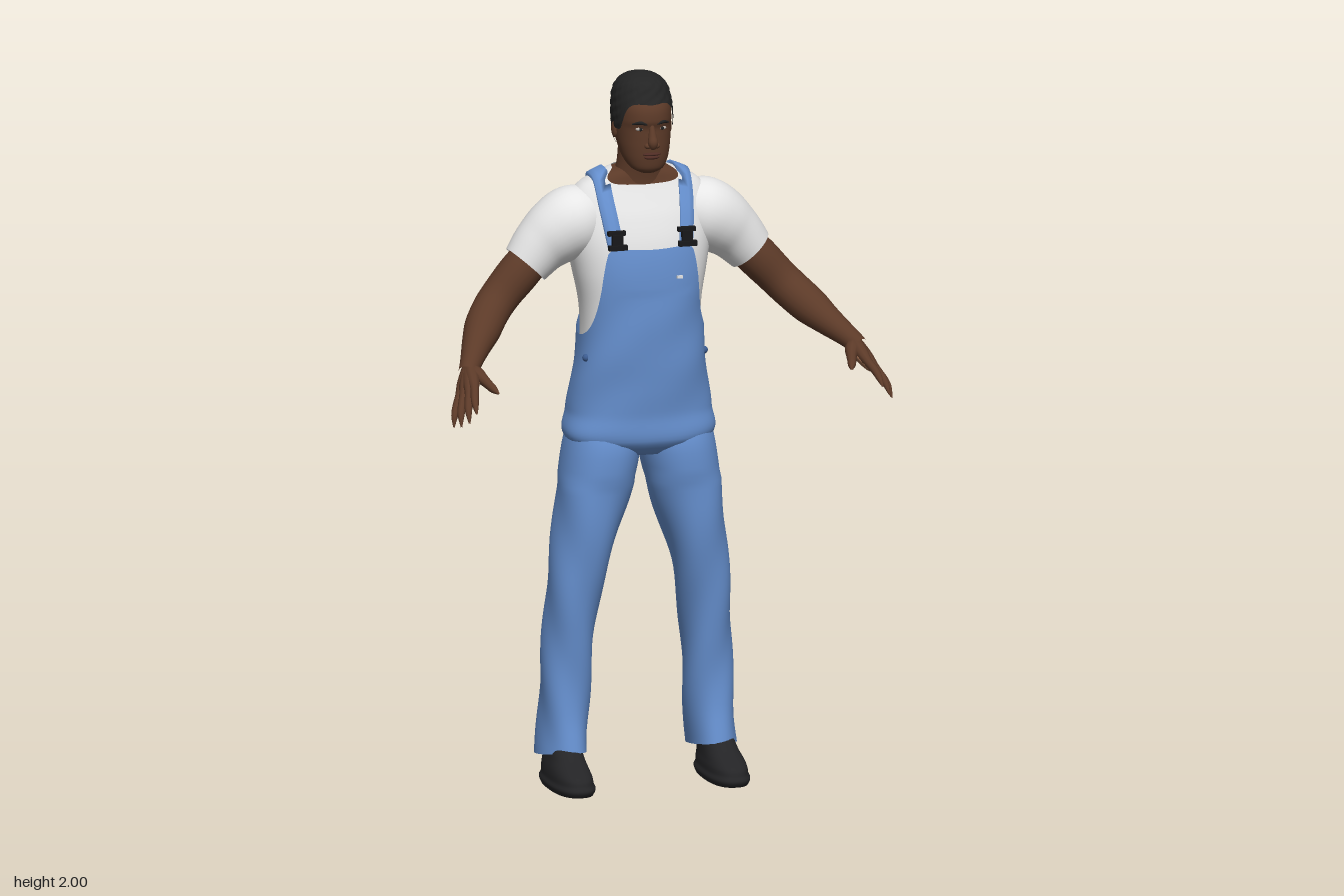
import * as THREE from 'three';
import { mergeVertices } from 'three/addons/utils/BufferGeometryUtils.js';

const mat = (name, color, side = THREE.FrontSide) => {
  const m = new THREE.MeshStandardMaterial({ color, side });
  m.name = name;
  return m;
};
const V = (a) => new THREE.Vector3(...a);

// Smooth interpolation through rows [t, a, b, ...]
function sample(rows, t) {
  const n = rows.length - 1;
  if (t <= rows[0][0]) return rows[0].slice(1);
  if (t >= rows[n][0]) return rows[n].slice(1);
  let i = 0;
  while (rows[i + 1][0] < t) i++;
  const p = rows[i], q = rows[i + 1], o = rows[Math.max(i - 1, 0)], r = rows[Math.min(i + 2, n)];
  const h = q[0] - p[0], s = (t - p[0]) / h;
  return p.slice(1).map((_, k) => {
    const j = k + 1;
    const m0 = (q[j] - o[j]) / (q[0] - o[0]) * h, m1 = (r[j] - p[j]) / (r[0] - p[0]) * h;
    const d = q[j] - p[j];
    return p[j] + s * (m0 + s * (3 * d - 2 * m0 - m1 + s * (m0 + m1 - 2 * d)));
  });
}

// Skin over horizontal rings [y, centreX, halfWidth, zFront, zBack]; lo and hi give
// the border height by angle from the front (0 front, PI back)
function wrap(rings, { lo, hi, grow = () => 0, n = 2.3, nu = 64, nv = 44, capTop, capBottom, ease = false }) {
  const pos = [], idx = [];
  const pw = (c) => Math.sign(c) * Math.abs(c) ** (2 / n);
  for (let j = 0; j <= nv; j++) for (let i = 0; i < nu; i++) {
    const a = i / nu * Math.PI * 2;
    const f = Math.acos(Math.min(1, Math.max(-1, Math.sin(a))));
    const v = ease ? Math.sin(j / nv * Math.PI / 2) : j / nv;
    const y = lo(f) + (hi(f) - lo(f)) * v;
    const [cx, w, zf, zb] = sample(rings, y), g = grow(a, y);
    pos.push(cx + (w + g) * pw(Math.cos(a)), y, (zf + zb) / 2 + ((zf - zb) / 2 + g) * pw(Math.sin(a)));
  }
  for (let j = 0; j < nv; j++) for (let i = 0; i < nu; i++) {
    const a = j * nu + i, b = j * nu + (i + 1) % nu;
    idx.push(a, a + nu, b, b, a + nu, b + nu);
  }
  const cap = (row, top) => {
    const c = pos.length / 3, m = [0, 0, 0];
    for (let i = 0; i < nu; i++) for (let k = 0; k < 3; k++) m[k] += pos[(row * nu + i) * 3 + k] / nu;
    pos.push(...m);
    for (let i = 0; i < nu; i++) {
      const a = row * nu + i, b = row * nu + (i + 1) % nu;
      top ? idx.push(a, c, b) : idx.push(a, b, c);
    }
  };
  if (capTop) cap(nv, true);
  if (capBottom) cap(0, false);
  return build(pos, idx);
}

function build(pos, idx) {
  const g = new THREE.BufferGeometry();
  g.setAttribute('position', new THREE.Float32BufferAttribute(pos, 3));
  g.setIndex(idx);
  g.computeVertexNormals();
  return g;
}

// Tube along points, with radii spread evenly along its length
function limb(points, radii, segs = 24, sides = 20) {
  const curve = new THREE.CatmullRomCurve3(points.map(V));
  let g = new THREE.TubeGeometry(curve, segs, 1, sides);
  const rows = radii.map((r, i) => [i / (radii.length - 1), r]);
  const p = g.attributes.position, v = new THREE.Vector3();
  for (let i = 0; i < p.count; i++) {
    const t = Math.floor(i / (sides + 1)) / segs, c = curve.getPointAt(t);
    v.fromBufferAttribute(p, i).sub(c).multiplyScalar(sample(rows, t)[0]).add(c);
    p.setXYZ(i, v.x, v.y, v.z);
  }
  g.deleteAttribute('uv');
  g.deleteAttribute('normal');
  g = mergeVertices(g, 1e-5);
  g.computeVertexNormals();
  return g;
}

const ball = (at, size) => new THREE.SphereGeometry(1, 20, 14).scale(...size).translate(...at);
const box = (at, size) => new THREE.BoxGeometry(...size).translate(...at);

export function createModel() {
  const model = new THREE.Group();
  model.name = 'workman';
  const skin = mat('skin', 0x5c3a28), palmSkin = mat('palm skin', 0x94664a), lip = mat('lips', 0x4f2c24);
  const denim = mat('denim', 0x6690cf, THREE.DoubleSide), cotton = mat('white cotton', 0xe6e6e6, THREE.DoubleSide);
  const hairMat = mat('black hair', 0x232323), leather = mat('shoe leather', 0x242426);
  const plastic = mat('buckle black', 0x18181a), eyeWhite = mat('eye white', 0xb9b0a8), stitch = mat('dark denim', 0x3c5c90);

  const add = (name, g, m) => {
    const mesh = new THREE.Mesh(g, m);
    mesh.name = name;
    model.add(mesh);
    return mesh;
  };
  // Adds a left part and its mirrored right twin
  const pair = (name, g, m) => {
    const r = g.clone().scale(-1, 1, 1), ix = r.index.array;
    for (let i = 0; i < ix.length; i += 3) [ix[i], ix[i + 1]] = [ix[i + 1], ix[i]];
    const nn = r.attributes.normal, no = g.attributes.normal;
    for (let i = 0; i < nn.count; i++) nn.setXYZ(i, -no.getX(i), no.getY(i), no.getZ(i));
    add(name + 'Right', r, m);
    return add(name + 'Left', g, m);
  };

  // Torso: shirt, skin below the neckline, overalls with bib
  const torso = [
    [0.93, 0, 0.1, -0.05, -0.2], [0.97, 0, 0.198, -0.006, -0.25], [1.05, 0, 0.194, -0.004, -0.255],
    [1.12, 0, 0.184, 0.002, -0.25], [1.2, 0, 0.172, 0.01, -0.243], [1.28, 0, 0.166, 0.012, -0.24],
    [1.36, 0, 0.17, 0.012, -0.248], [1.45, 0, 0.187, 0.01, -0.263], [1.53, 0, 0.202, -0.002, -0.268],
    [1.6, 0, 0.207, -0.025, -0.252], [1.65, 0, 0.197, -0.048, -0.228], [1.69, 0, 0.165, -0.066, -0.205],
    [1.715, 0, 0.118, -0.072, -0.192], [1.73, 0, 0.076, -0.078, -0.182]];
  const neckline = [[0, 1.688], [0.5, 1.694], [1.1, 1.722], [1.6, 1.73], [3.15, 1.73]];
  const shirt = add('shirt', wrap(torso, { lo: () => 1.18, hi: (f) => sample(neckline, f)[0], n: 2.4, nu: 80 }), cotton);
  add('neckBase', wrap(torso, { lo: () => 1.6, hi: () => 1.73, grow: () => -0.005, n: 2.4, nv: 16, capTop: true }), skin);
  const bibTop = [[0, 1.52], [0.52, 1.52], [0.6, 1.495], [0.85, 1.38], [1.15, 1.3], [1.55, 1.268],
    [1.9, 1.28], [2.3, 1.33], [2.6, 1.39], [2.85, 1.455], [3.15, 1.49]];
  add('overalls', wrap(torso, {
    lo: () => 0.93, hi: (f) => sample(bibTop, f)[0], n: 2.4, nu: 112, nv: 50, capBottom: true,
    grow: (a, y) => 0.008 + 0.0015 * Math.sin(a * 4 + y * 30) * (y < 1.4 ? 1 : 0.3),
  }), denim);
  add('bibLabel', box([0.075, 1.44, 0.0165], [0.016, 0.008, 0.006]), cotton);

  // Trouser legs with slight folds
  const leg = [[0.07, 0.217, 0.064, -0.035, -0.27], [0.2, 0.208, 0.066, -0.062, -0.246], [0.4, 0.198, 0.068, -0.058, -0.235],
    [0.6, 0.176, 0.076, -0.03, -0.23], [0.8, 0.134, 0.098, -0.01, -0.245], [0.95, 0.107, 0.105, -0.004, -0.253], [1.04, 0.1, 0.09, -0.03, -0.22]];
  pair('trouserLeg', wrap(leg, {
    lo: (f) => 0.08 - 0.02 * Math.cos(f + Math.PI), hi: () => 1.04, n: 2.2, nu: 48,
    grow: (a, y) => 0.003 * Math.sin(a * 3 + y * 22) * (y < 0.85 ? 1 : 0),
  }), denim);

  // Shoes: sole and upper
  const shoe = [[0, 0.222, 0.056, 0.072, -0.212], [0.012, 0.222, 0.061, 0.08, -0.22], [0.02, 0.222, 0.061, 0.08, -0.22],
    [0.026, 0.222, 0.057, 0.075, -0.215], [0.045, 0.222, 0.055, 0.066, -0.215], [0.06, 0.222, 0.052, 0.04, -0.212],
    [0.08, 0.22, 0.048, -0.005, -0.21], [0.11, 0.218, 0.044, -0.05, -0.205]];
  pair('shoe', wrap(shoe, { lo: () => 0, hi: () => 0.11, n: 2.5, nv: 24, nu: 40, capTop: true, capBottom: true }), leather);

  // Sleeves and arms
  const sleeve = pair('sleeve', limb([[0.12, 1.6, -0.14], [0.2, 1.575, -0.137], [0.27, 1.525, -0.14], [0.322, 1.468, -0.137]],
    [0.08, 0.1, 0.094, 0.08, 0.068], 20, 32), cotton);
  const wrist = [0.55, 1.245, 0.09];
  pair('arm', limb([[0.25, 1.54, -0.14], [0.33, 1.46, -0.135], [0.42, 1.365, -0.112], [0.49, 1.297, -0.02], wrist, [0.562, 1.232, 0.11]],
    [0.05, 0.056, 0.058, 0.055, 0.054, 0.052, 0.042, 0.033, 0.026], 32), skin);

  // Hands: each finger runs from the wrist, so the roots merge into a palm
  const fingers = [
    [[0.564, 1.207, 0.182], [0.577, 1.182, 0.23], [0.583, 1.152, 0.268]],
    [[0.58, 1.192, 0.185], [0.597, 1.16, 0.235], [0.603, 1.127, 0.266]],
    [[0.594, 1.177, 0.174], [0.612, 1.143, 0.214], [0.618, 1.112, 0.238]],
    [[0.604, 1.164, 0.156], [0.622, 1.132, 0.185], [0.628, 1.104, 0.2]]];
  fingers.forEach((f, i) => pair('finger' + (i + 1),
    limb([wrist, ...f], [0.02, 0.02, 0.018, 0.0125, 0.0115, 0.0095, 0.002], 18, 10), skin));
  pair('thumb', limb([[0.55, 1.238, 0.1], [0.53, 1.222, 0.145], [0.517, 1.207, 0.19], [0.506, 1.195, 0.226]],
    [0.02, 0.022, 0.016, 0.013, 0.011, 0.002], 16, 10), skin);
  const along = V([0.04, -0.05, 0.09]).normalize(), out = V([0.73, 0.68, 0.06]).normalize();
  const across = new THREE.Vector3().crossVectors(out, along).normalize();
  out.crossVectors(along, across);
  const palm = new THREE.SphereGeometry(1, 18, 12).scale(0.032, 0.01, 0.045);
  palm.applyMatrix4(new THREE.Matrix4().makeBasis(across, out, along).setPosition(V([0.57, 1.208, 0.14]).addScaledVector(out, -0.014)));
  pair('palm', palm, palmSkin);

  // Straps draped over the shoulders
  const path = [[0.2, 0.1], [0.8, 0.11], [1.3, 0.118], [1.75, 0.118], [2.3, 0.088], [2.9, 0.05], [3.35, 0.03]];
  const ray = new THREE.Raycaster(), pos = [], idx = [], steps = 44;
  const lanes = [[-1, 0], [-1, 0.011], [-0.33, 0.011], [0.33, 0.011], [1, 0.011], [1, 0]];
  model.updateMatrixWorld(true);
  for (let i = 0; i <= steps; i++) for (const [side, lift] of lanes) {
    const phi = 0.2 + 3.15 * i / steps;
    const dir = V([0, Math.sin(phi), Math.cos(phi)]), c = V([sample(path, phi)[0] + side * 0.02, 1.5, -0.13]);
    ray.set(c.clone().addScaledVector(dir, 0.6), dir.clone().negate());
    const hit = ray.intersectObjects([shirt, sleeve])[0];
    const p = (hit ? hit.point : c.addScaledVector(dir, 0.14)).addScaledVector(dir, lift);
    pos.push(p.x, p.y, p.z);
  }
  const L = lanes.length;
  for (let i = 0; i < steps; i++) for (let k = 0; k < L - 1; k++) {
    const a = i * L + k;
    idx.push(a, a + 1, a + L, a + 1, a + L + 1, a + L);
  }
  pair('strap', build(pos, idx), denim);

  // Buckles and hip buttons
  [[1.57, 0.05, 0.012], [1.55, 0.03, 0.035], [1.532, 0.052, 0.014]].forEach(([y, w, h], i) =>
    pair('buckle' + (i + 1), box([0.1, y, 0.01 - (y - 1.532) * 0.35], [w, h, 0.016]), plastic));
  pair('hipButton', ball([0.168, 1.21, -0.065], [0.012, 0.011, 0.011]), stitch);

  // Neck and head
  add('neck', wrap([[1.66, 0, 0.082, -0.07, -0.19], [1.7, 0, 0.072, -0.068, -0.184], [1.75, 0, 0.063, -0.06, -0.176], [1.82, 0, 0.06, -0.05, -0.17]],
    { lo: () => 1.66, hi: () => 1.82, n: 2, nv: 14, nu: 40 }), skin);
  const head = [[1.73, 0, 0.02, -0.022, -0.06], [1.74, 0, 0.042, -0.008, -0.085], [1.765, 0, 0.06, -0.001, -0.13],
    [1.8, 0, 0.07, 0.002, -0.165], [1.835, 0, 0.075, 0.002, -0.19], [1.86, 0, 0.077, 0.002, -0.197], [1.88, 0, 0.077, 0.008, -0.2],
    [1.92, 0, 0.074, 0, -0.197], [1.96, 0, 0.058, -0.035, -0.175], [1.985, 0, 0.025, -0.08, -0.13]];
  add('head', wrap(head, { lo: () => 1.73, hi: () => 1.985, n: 2.2, nu: 48, capTop: true, capBottom: true }), skin);
  pair('ear', ball([0.077, 1.843, -0.1], [0.009, 0.024, 0.015]), skin);
  add('nose', limb([[0, 1.872, -0.002], [0, 1.84, 0.006], [0, 1.813, 0.012], [0, 1.804, 0.004]], [0.006, 0.009, 0.012, 0.014, 0.004], 16, 14), skin);
  pair('nostril', ball([0.013, 1.812, 0.003], [0.009, 0.008, 0.01]), skin);
  add('upperLip', ball([0, 1.788, 0], [0.026, 0.005, 0.01]), lip);
  add('lowerLip', ball([0, 1.779, -0.001], [0.022, 0.006, 0.01]), lip);
  pair('eye', ball([0.031, 1.859, -0.009], [0.013, 0.0055, 0.008]), eyeWhite);
  pair('iris', ball([0.031, 1.859, -0.0035], [0.0055, 0.005, 0.0035]), hairMat);
  pair('brow', limb([[0.014, 1.873, 0.003], [0.032, 1.878, 0], [0.052, 1.872, -0.016]], [0.003, 0.005, 0.004, 0.002], 12, 8), hairMat);

  // Short textured hair
  const crown = [[1.76, 0, 0.062, 0, -0.15], [1.8, 0, 0.073, 0.003, -0.183], [1.84, 0, 0.08, 0.008, -0.2], [1.88, 0, 0.083, 0.011, -0.206],
    [1.92, 0, 0.081, 0.003, -0.207], [1.95, 0, 0.076, -0.014, -0.2], [1.975, 0, 0.063, -0.03, -0.184], [1.99, 0, 0.043, -0.055, -0.16],
    [1.997, 0, 0.022, -0.083, -0.132], [2, 0, 0.004, -0.1, -0.11]];
  const hairline = [[0, 1.926], [0.6, 1.926], [0.9, 1.905], [1.15, 1.855], [1.4, 1.85], [1.65, 1.845], [1.85, 1.81], [2.2, 1.785], [3.15, 1.775]];
  add('hair', wrap(crown, {
    lo: (f) => sample(hairline, f)[0], hi: () => 2, n: 2.1, nu: 72, ease: true, capTop: true,
    grow: (a, y) => (y > 1.985 ? 0 : 0.0018 * Math.sin(a * 17 + y * 90) * Math.cos(a * 6 - y * 160)),
  }), hairMat);

  return model;
}
